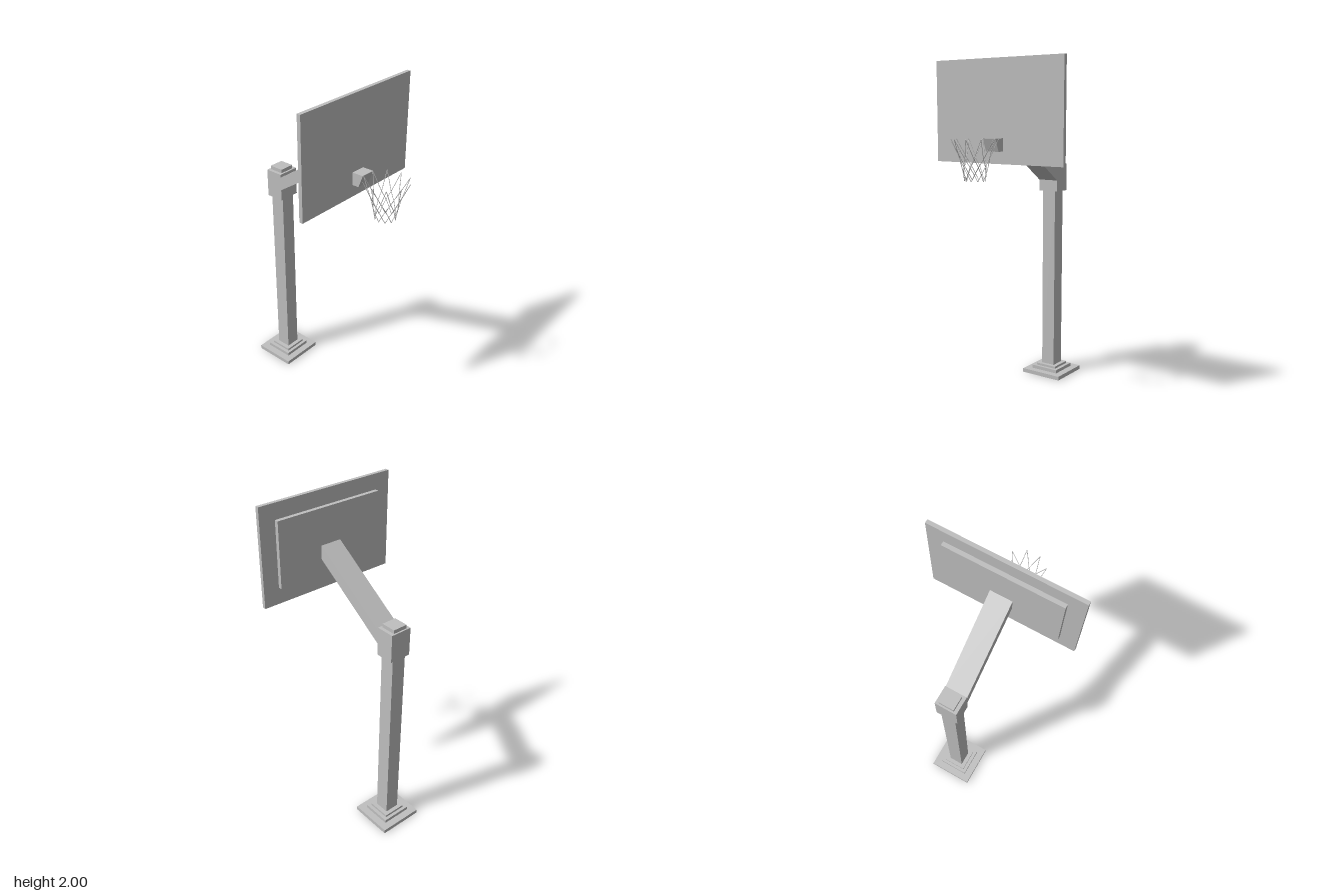
import * as THREE from 'three';

export function createModel() {
  const group = new THREE.Group();
  const paintedMetal = new THREE.MeshStandardMaterial({ color: 0xbfbfbf });
  paintedMetal.name = 'greyPaint';

  const add = (name, geometry, parent = group) => {
    const mesh = new THREE.Mesh(geometry, paintedMetal);
    mesh.name = name;
    parent.add(mesh);
    return mesh;
  };

  // Box centred on x, given by its half width and its y and z ranges
  const block = (name, halfX, y0, y1, z0, z1) =>
    add(name, new THREE.BoxGeometry(halfX * 2, y1 - y0, z1 - z0))
      .position.set(0, (y0 + y1) / 2, (z0 + z1) / 2);

  // Side outline of [z, y] points, extruded across x
  const sideProfile = (name, halfX, points) => {
    const shape = new THREE.Shape(points.map(([z, y]) => new THREE.Vector2(-z, y)));
    const geometry = new THREE.ExtrudeGeometry(shape, { depth: halfX * 2, bevelEnabled: false });
    geometry.translate(0, 0, -halfX).rotateY(Math.PI / 2);
    add(name, geometry);
  };

  // Stepped foot, post and collar
  block('basePlate', 0.138, 0, 0.025, -0.525, -0.26);
  block('baseStep', 0.093, 0.025, 0.046, -0.481, -0.303);
  block('postFoot', 0.071, 0.046, 0.06, -0.462, -0.322);
  block('post', 0.045, 0.06, 1.21, -0.437, -0.347);
  block('collar', 0.067, 1.208, 1.38, -0.447, -0.335);
  block('collarCap', 0.046, 1.38, 1.402, -0.437, -0.347);

  // Sloping arm
  sideProfile('arm', 0.067, [[-0.335, 1.278], [0.15, 1.603], [0.15, 1.687], [-0.335, 1.362]]);

  // Board with its backing plate
  block('backingPlate', 0.349, 1.508, 1.906, 0.15, 0.175);
  block('backboard', 0.447, 1.408, 2, 0.175, 0.198);

  // Wedge bracket that holds the net
  sideProfile('hoopBracket', 0.045, [[0.198, 1.48], [0.24, 1.48], [0.268, 1.555], [0.198, 1.555]]);

  // Net: rows of points, each turned half a step, joined by zigzag strands
  const net = new THREE.Group();
  net.name = 'net';
  net.position.z = 0.395;
  group.add(net);
  const rows = [[0.131, 1.555], [0.085, 1.45], [0.073, 1.405], [0.064, 1.363], [0.058, 1.325]];
  const count = 10;
  const knot = (row, step) => {
    const [radius, y] = rows[row];
    const angle = (step + (row % 2) / 2) * Math.PI * 2 / count;
    return new THREE.Vector3(Math.cos(angle) * radius, y, Math.sin(angle) * radius);
  };
  const strand = (from, to) => {
    const along = to.clone().sub(from);
    const mesh = add('netStrand', new THREE.CylinderGeometry(0.0018, 0.0018, along.length(), 5), net);
    mesh.position.copy(from).addScaledVector(along, 0.5);
    mesh.quaternion.setFromUnitVectors(new THREE.Vector3(0, 1, 0), along.normalize());
  };
  for (let row = 0; row < rows.length - 1; row++) {
    const shift = row % 2 ? 1 : -1;
    for (let i = 0; i < count; i++) {
      strand(knot(row, i), knot(row + 1, i));
      strand(knot(row, i), knot(row + 1, i + shift));
    }
  }

  return group;
}
